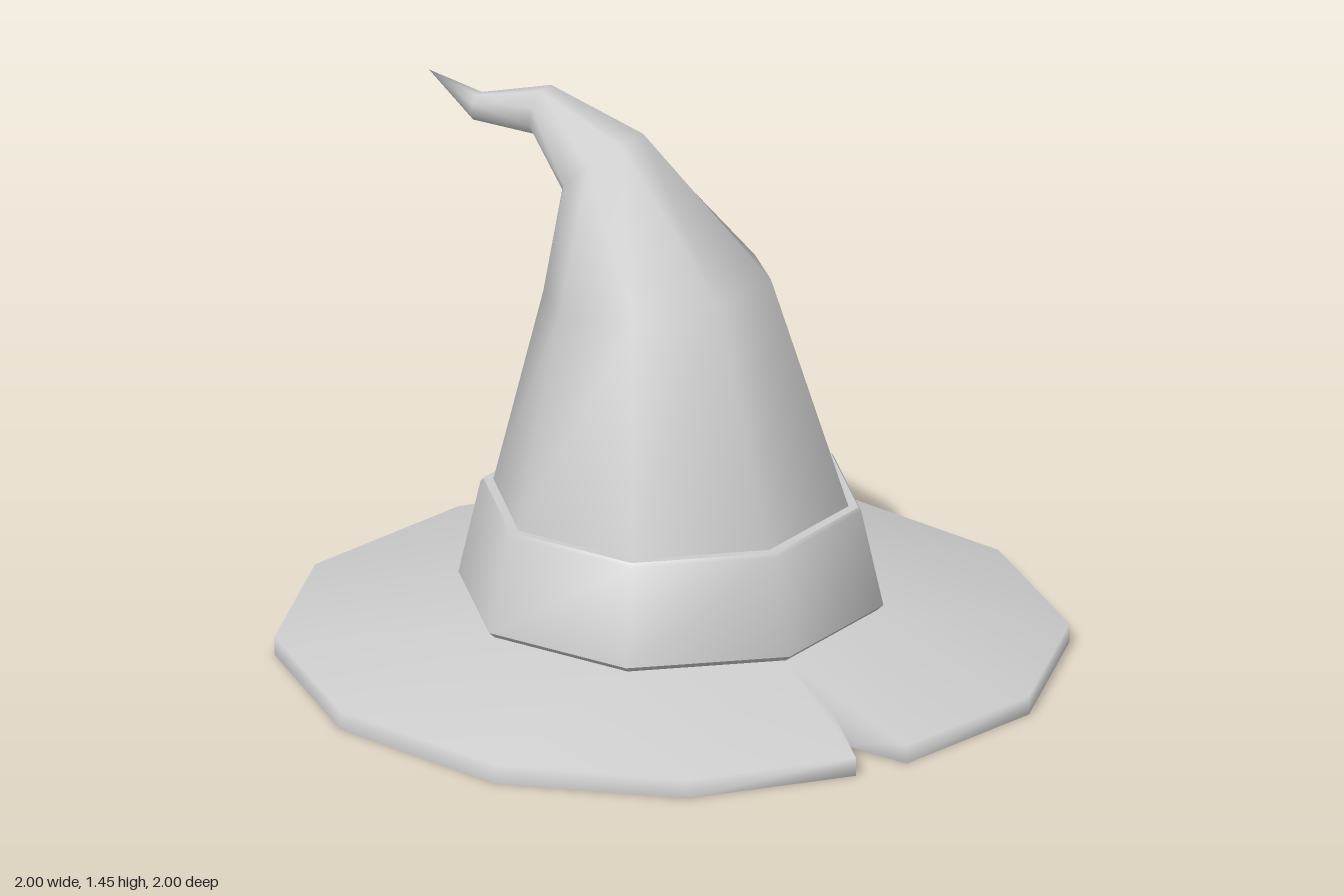
import * as THREE from 'three';
import { mergeVertices, toCreasedNormals } from 'three/addons/utils/BufferGeometryUtils.js';

const felt = new THREE.MeshStandardMaterial({ color: 0xcccccc });
felt.name = 'light grey';

// Joins closed rings of equal point count; rings listed upwards face outwards
function loft(rings) {
  const n = rings[0].length, index = [];
  for (let r = 0; r < rings.length - 1; r++) {
    for (let i = 0; i < n; i++) {
      const j = (i + 1) % n;
      const a = r * n + i, b = r * n + j, c = b + n, d = a + n;
      index.push(a, d, b, b, d, c);
    }
  }
  const geo = new THREE.BufferGeometry();
  geo.setAttribute('position', new THREE.Float32BufferAttribute(rings.flat(2), 3));
  geo.setIndex(index);
  return geo;
}

// Welds repeated points and shades the whole surface smoothly
function smooth(geo) {
  const welded = mergeVertices(geo);
  welded.computeVertexNormals();
  return welded;
}

function part(name, geo) {
  const mesh = new THREE.Mesh(geo, felt);
  mesh.name = name;
  return mesh;
}

// Octagon spanning from a left to a right point, with its own half depth
function octagon([lx, ly, rx, ry, depth]) {
  const k = 1 / Math.cos(Math.PI / 8), ring = [];
  for (let i = 0; i < 8; i++) {
    const t = Math.PI / 8 + i * Math.PI / 4;
    const u = Math.cos(t) * k, v = Math.sin(t) * k;
    ring.push([(lx + rx) / 2 + u * (rx - lx) / 2, (ly + ry) / 2 + u * (ry - ly) / 2, v * depth]);
  }
  return ring;
}
const level = (y, a) => octagon([-a, y, a, y, a]);

// Rectangle with cut corners
function chamfered(target, w, h, c) {
  const x = w / 2, y = h / 2;
  target.setFromPoints([[-x + c, -y], [x - c, -y], [x, -y + c], [x, y - c], [x - c, y], [-x + c, y],
    [-x, y - c], [-x, -y + c], [-x + c, -y]].map(p => new THREE.Vector2(...p)));
  return target;
}

// Brim top with its rim, and an underside rising into a hollow
function createBrim() {
  const brim = new THREE.Group();
  brim.name = 'brim';
  // outline with two torn notches, x and z
  const outline = [[-0.15, -1], [0.38, -0.92], [0.81, -0.61], [1, -0.15], [0.93, 0.3], [0.72, 0.32],
    [0.87, 0.44], [0.6, 0.81], [0.14, 1], [-0.39, 0.92], [-0.81, 0.6], [-1, 0.14],
    [-0.92, -0.39], [-0.67, -0.73], [-0.5, -0.69], [-0.51, -0.85]];
  // each outline point is tied to the nearest octagon corner
  const tie = ring => outline.map(([x, z]) =>
    ring[(Math.round(Math.atan2(z, x) / (Math.PI / 4) - 0.5) + 8) % 8]);
  const circle = (y, r) => outline.map(([x, z]) => [x * r / Math.hypot(x, z), y, z * r / Math.hypot(x, z)]);
  const drop = ([x, z]) => Math.max(0, 0.97 - Math.hypot(x, z));
  const rim = outline.map(p => [p[0], drop(p) * 0.1, p[1]]);
  brim.add(
    part('brimTop', smooth(loft([
      rim,
      outline.map(p => [p[0], 0.05 + drop(p) * 0.25, p[1]]),
      tie(level(0.152, 0.485)),
    ]))),
    part('brimUnderside', smooth(loft([
      tie(level(0.42, 0)),
      tie(level(0.36, 0.25)),
      tie(level(0.13, 0.47)),
      circle(0.025, 0.7),
      rim,
    ]))),
  );
  return brim;
}

function createBuckle() {
  const buckle = new THREE.Group();
  buckle.name = 'buckle';
  const shape = chamfered(new THREE.Shape(), 0.375, 0.285, 0.06);
  shape.holes.push(chamfered(new THREE.Path(), 0.26, 0.18, 0.03));
  const frame = part('buckleFrame', new THREE.ExtrudeGeometry(shape, {
    depth: 0.057, bevelEnabled: true, bevelThickness: 0.008, bevelSize: 0.008, bevelOffset: -0.008, bevelSegments: 1,
  }));
  const pin = part('bucklePin', new THREE.ExtrudeGeometry(
    chamfered(new THREE.Shape(), 0.17, 0.05, 0.015), { depth: 0.07, bevelEnabled: false }));
  pin.position.x = 0.075;
  buckle.add(frame, pin);
  // sits on the back, leaning with the band
  buckle.position.set(-0.017, 0.295, -0.445);
  buckle.rotation.set(0.18, Math.PI, 0);
  return buckle;
}

export function createModel() {
  const hat = new THREE.Group();
  hat.name = 'pointedHat';

  // crown bending over to one side: left x, left y, right x, right y, half depth
  const crown = part('crown', smooth(loft([
    [-0.485, 0.152, 0.485, 0.152, 0.485],
    [-0.425, 0.43, 0.425, 0.43, 0.43],
    [-0.315, 0.95, 0.23, 1.03, 0.275],
    [-0.3, 1.21, -0.12, 1.37, 0.122],
    [-0.4, 1.33, -0.385, 1.452, 0.06],
    [-0.6, 1.32, -0.59, 1.39, 0.03],
    [-0.745, 1.42, -0.745, 1.42, 0],
  ].map(octagon))));

  // band around the foot of the crown
  const band = part('band', toCreasedNormals(loft([
    level(0.15, 0.47), level(0.152, 0.495), level(0.167, 0.51),
    level(0.42, 0.457), level(0.43, 0.45), level(0.43, 0.42),
  ]), 0.85));

  hat.add(createBrim(), crown, band, createBuckle());
  return hat;
}
